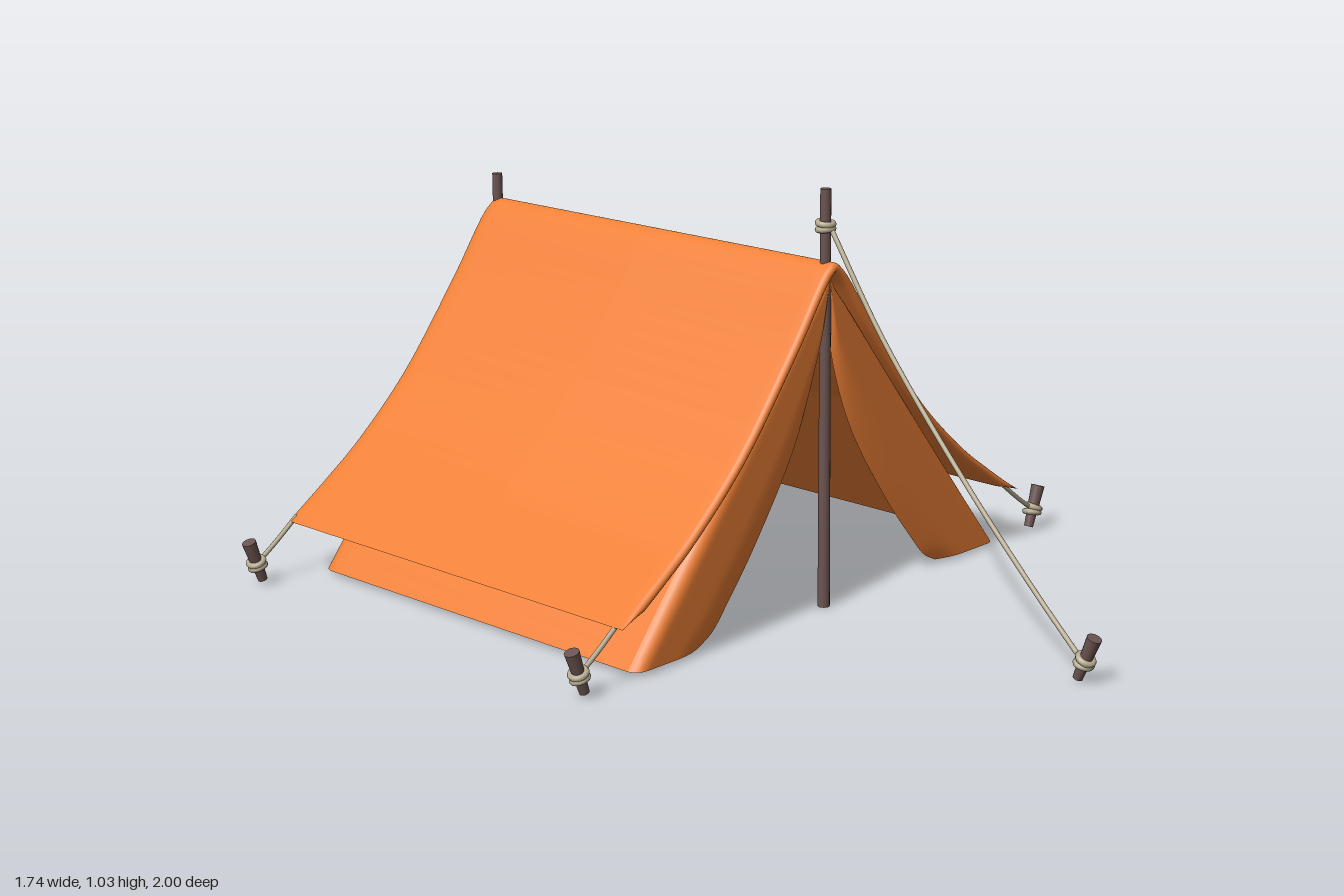
import * as THREE from 'three';

const cloth = new THREE.MeshStandardMaterial({ color: 0xee7f35, side: THREE.DoubleSide });
const wood = new THREE.MeshStandardMaterial({ color: 0x6b5350 });
const cord = new THREE.MeshStandardMaterial({ color: 0xb8ad92 });
const V = (x, y, z = 0) => new THREE.Vector3(x, y, z);

// Smooth cloth surface from a grid of points
function sheet(name, nu, nv, point) {
  const pos = [], index = [];
  for (let j = 0; j <= nv; j++)
    for (let i = 0; i <= nu; i++) {
      pos.push(...point(i, j).toArray());
      if (i < nu && j < nv) {
        const a = j * (nu + 1) + i, b = a + nu + 1;
        index.push(a, a + 1, b, a + 1, b + 1, b);
      }
    }
  const g = new THREE.BufferGeometry();
  g.setAttribute('position', new THREE.Float32BufferAttribute(pos, 3));
  g.setIndex(index);
  g.computeVertexNormals();
  const mesh = new THREE.Mesh(g, cloth);
  mesh.name = name;
  return mesh;
}

// Full cross-section from the points of one side, ridge last
function section(half, n) {
  const mirrored = half.slice(0, -1).reverse().map(([x, y]) => [-x, y]);
  return new THREE.CatmullRomCurve3([...half, ...mirrored].map(p => V(...p)), false, 'centripetal').getPoints(n);
}

// Pouch: the section runs through stations [inset, scale, z]; scale 0 closes the back wall
function pouch(name, pts, baseY, stations) {
  const n = pts.length - 1;
  return sheet(name, n, stations.length - 1, (i, j) => {
    const [d, s, z] = stations[j];
    const t = pts[Math.min(i + 1, n)].clone().sub(pts[Math.max(i - 1, 0)]).normalize();
    const inset = d * Math.min(1, Math.min(i, n - i) / 3);
    const x = pts[i].x - t.y * inset, y = pts[i].y + t.x * inset;
    return V(x * s, baseY + Math.max(0, y - baseY) * s, z);
  });
}

// Rounded back corner followed by a slightly bulging back wall
function backStations(z, r, bulge) {
  const list = [];
  for (let k = 0; k <= 6; k++) {
    const a = k / 6 * Math.PI / 2;
    list.push([0, 1 - r * (1 - Math.cos(a)), z + r * (1 - Math.sin(a))]);
  }
  for (let k = 1; k <= 8; k++) {
    const s = (1 - r) * (1 - k / 8);
    list.push([0, s, z - bulge * (1 - s * s)]);
  }
  return list;
}

function rod(name, from, to, r0, r1) {
  const dir = to.clone().sub(from);
  const mesh = new THREE.Mesh(new THREE.CylinderGeometry(r1, r0, dir.length(), 16), wood);
  mesh.name = name;
  mesh.position.copy(from).add(to).multiplyScalar(0.5);
  mesh.quaternion.setFromUnitVectors(V(0, 1, 0), dir.normalize());
  return mesh;
}

// Two turns of cord around an axis
function knot(at, axis) {
  const g = new THREE.Group();
  g.name = 'knot';
  for (const k of [-1, 1]) {
    const ring = new THREE.Mesh(new THREE.TorusGeometry(0.018, 0.008, 8, 20), cord);
    ring.position.z = k * 0.007;
    ring.rotation.x = k * 0.12;
    g.add(ring);
  }
  g.position.copy(at);
  g.quaternion.setFromUnitVectors(V(0, 0, 1), axis.clone().normalize());
  return g;
}

function rope(points) {
  const curve = new THREE.CatmullRomCurve3(points);
  const mesh = new THREE.Mesh(new THREE.TubeGeometry(curve, 32, 0.006, 8), cord);
  mesh.name = 'guyRope';
  return mesh;
}

// Stake leaning along (dx, dz), with its knot
function stake(x, z, dx, dz) {
  const g = new THREE.Group();
  g.name = 'stake';
  const foot = V(x, 0.01, z), top = V(x + dx, 0.115, z + dz);
  g.add(rod('peg', foot, top, 0.012, 0.018));
  g.add(knot(foot.clone().lerp(top, 0.42), top.clone().sub(foot)));
  return g;
}

export function createModel() {
  const tent = new THREE.Group();
  tent.name = 'tent';

  // Outer fly: inner layer, rounded front hem, outer layer, back wall
  const flySide = [[0.725, 0.14], [0.6, 0.225], [0.495, 0.302], [0.333, 0.452],
    [0.148, 0.682], [0.03, 0.842], [0, 0.861]];
  const hem = [[0.024, 1, -0.94], [0.024, 1, -0.4], [0.024, 1, 0.19]];
  for (let k = 0; k <= 8; k++) {
    const a = k / 8 * Math.PI;
    hem.push([0.012 * (1 + Math.cos(a)), 1, 0.203 + 0.014 * Math.sin(a)]);
  }
  hem.push([0, 1, 0.18], [0, 1, -0.4], [0, 1, -0.92]);
  tent.add(pouch('fly', section(flySide, 72), 0.14, [...hem, ...backStations(-0.985, 0.04, 0.015)]));

  // Inner tent: sloping walls and back wall
  const inner = section([[0.66, 0.01], [0.45, 0.272], [0.24, 0.535], [0.025, 0.8], [0, 0.82]], 64);
  tent.add(pouch('innerTent', inner, 0.01,
    [[0, 1, 0.165], [0, 1, -0.3], [0, 1, -0.86], ...backStations(-0.92, 0.035, 0.012)]));

  // Front flaps parted along a curved opening
  const opening = new THREE.CatmullRomCurve3([[0.435, 0.01], [0.39, 0.035], [0.34, 0.09], [0.24, 0.215],
    [0.1, 0.43], [0.035, 0.6], [0.008, 0.74], [0, 0.81]].map(p => V(...p)), false, 'centripetal');
  const edge = opening.getPoints(32);
  for (const side of [1, -1])
    tent.add(sheet(side > 0 ? 'leftFlap' : 'rightFlap', 32, 16, (i, j) => {
      const w = (j / 16) ** 1.5, p = inner[i].clone().lerp(edge[i], w);
      const round = 1 - Math.min(1, w / 0.16);
      const curl = 0.02 * Math.max(0, (w - 0.6) / 0.4) ** 2;
      return V(p.x * side, p.y, 0.165 + 0.03 * Math.sqrt(1 - round * round) - curl);
    }));

  // Poles
  tent.add(rod('frontPole', V(0, 0, 0.18), V(0, 1.035, 0.18), 0.015, 0.013));
  tent.add(rod('backPole', V(0, 0, -0.963), V(0, 0.925, -0.963), 0.015, 0.013));

  // Front guy rope with its stake
  tent.add(knot(V(0, 0.945, 0.18), V(0, 1, 0)));
  tent.add(rope([V(0, 0.945, 0.195), V(0, 0.7, 0.36), V(0, 0.41, 0.605), V(0, 0.195, 0.81), V(0, 0.045, 0.965)]));
  tent.add(stake(0, 0.945, 0, 0.043));

  // Corner guy ropes with their stakes
  for (const s of [1, -1])
    for (const z of [0.185, -0.968]) {
      tent.add(rope([V(s * 0.7, 0.15, z), V(s * 0.765, 0.1, z), V(s * 0.83, 0.055, z)]));
      tent.add(stake(s * 0.815, z, s * 0.037, 0));
    }

  return tent;
}
